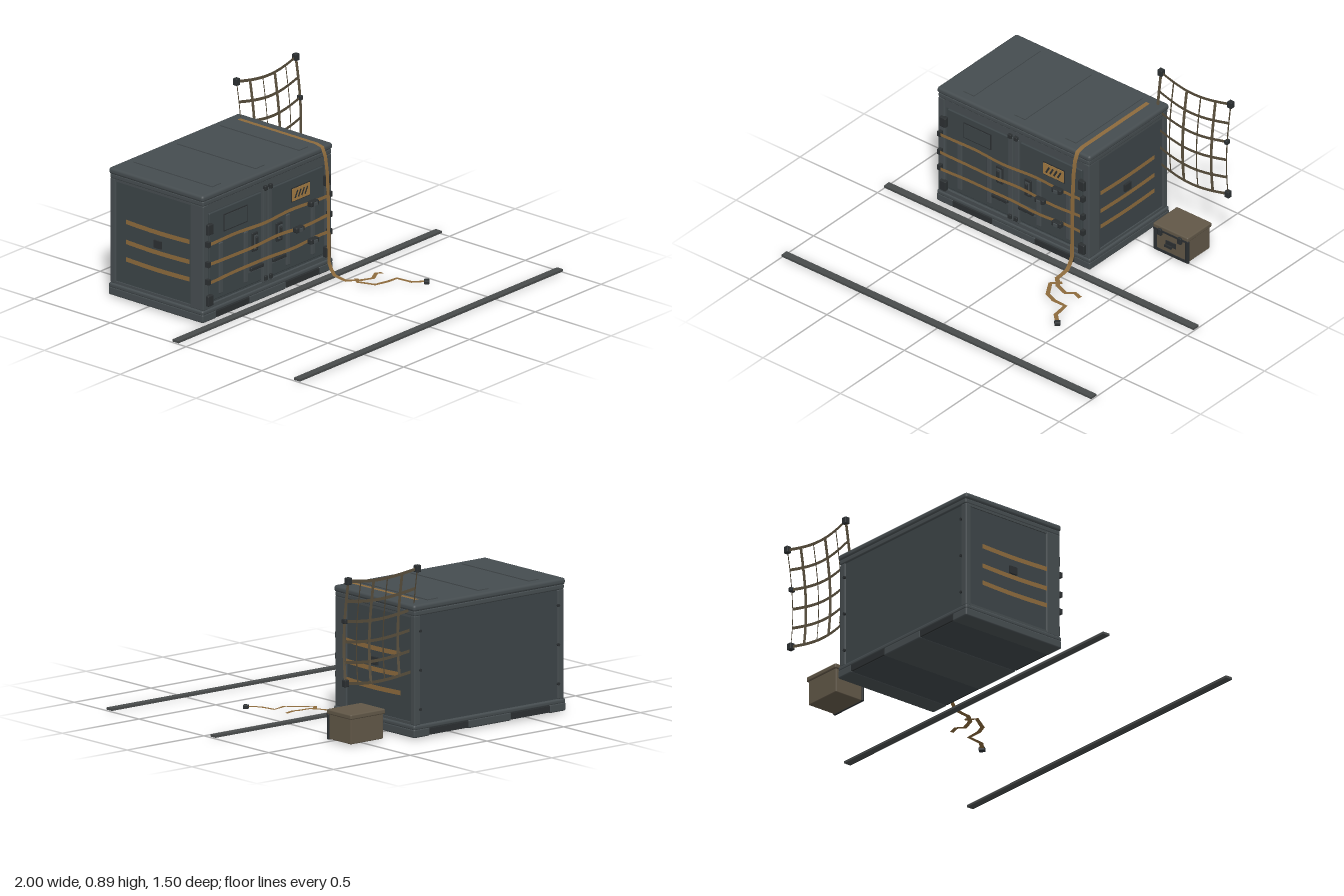
import * as THREE from 'three';
import { RoundedBoxGeometry } from 'three/addons/geometries/RoundedBoxGeometry.js';

const mat = (name, color, side = THREE.FrontSide) => {
  const m = new THREE.MeshStandardMaterial({ color, side });
  m.name = name;
  return m;
};

export function createModel() {
  const model = new THREE.Group();
  model.name = 'cargoContainerSet';
  const M = {
    shell: mat('slate shell', 0x454c4f),
    panel: mat('dark slate panel', 0x3c4447),
    metal: mat('black metal', 0x2b2f31),
    strap: mat('ochre webbing', 0x8c6a3c, THREE.DoubleSide),
    sign: mat('amber sign', 0xa27a42),
    crate: mat('brown crate', 0x615747),
    net: mat('drab net webbing', 0x574d3b, THREE.DoubleSide),
    rail: mat('rail grey', 0x484b4b),
  };
  const add = (parent, name, geo, m, x = 0, y = 0, z = 0) => {
    const mesh = new THREE.Mesh(geo, m);
    mesh.name = name;
    mesh.position.set(x, y, z);
    parent.add(mesh);
    return mesh;
  };
  const group = (name) => {
    const g = new THREE.Group();
    g.name = name;
    model.add(g);
    return g;
  };
  // Box given by its min and max on each axis, optionally with rounded edges
  const box = (parent, name, m, x0, x1, y0, y1, z0, z1, r = 0) => {
    const s = [x1 - x0, y1 - y0, z1 - z0];
    const geo = r ? new RoundedBoxGeometry(...s, 2, r) : new THREE.BoxGeometry(...s);
    return add(parent, name, geo, m, (x0 + x1) / 2, (y0 + y1) / 2, (z0 + z1) / 2);
  };
  // Flat band along a path; side is a fixed width direction, or null to lie on the ground
  const ribbon = (parent, name, m, pts, width, side = null) => {
    const pos = [], idx = [], p = pts.map((q) => new THREE.Vector3(...q));
    p.forEach((q, i) => {
      const t = p[Math.min(i + 1, p.length - 1)].clone().sub(p[Math.max(i - 1, 0)]);
      const s = side ? new THREE.Vector3(...side) : new THREE.Vector3(t.z, 0, -t.x).normalize();
      s.multiplyScalar(width / 2);
      pos.push(q.x - s.x, q.y - s.y, q.z - s.z, q.x + s.x, q.y + s.y, q.z + s.z);
      if (i) idx.push(2 * i - 2, 2 * i, 2 * i - 1, 2 * i - 1, 2 * i, 2 * i + 1);
    });
    const geo = new THREE.BufferGeometry();
    geo.setAttribute('position', new THREE.Float32BufferAttribute(pos, 3));
    geo.setIndex(idx);
    geo.computeVertexNormals();
    return add(parent, name, geo, m);
  };
  const sample = (n, f) => Array.from({ length: n + 1 }, (_, i) => f(i / n));

  // Container: lid, core, base
  const c = group('container');
  const X0 = -0.715, X1 = 0.255, CX = -0.23;
  box(c, 'core', M.panel, X0 + 0.006, X1 - 0.006, 0.06, 0.65, -0.74, -0.148);
  box(c, 'lid', M.shell, -0.725, 0.265, 0.652, 0.686, -0.752, -0.128, 0.014);
  box(c, 'lidSkirt', M.shell, -0.718, 0.258, 0.628, 0.656, -0.748, -0.132, 0.008);
  box(c, 'baseTop', M.shell, -0.725, 0.265, 0.046, 0.072, -0.752, -0.128, 0.01);
  box(c, 'baseBody', M.panel, -0.715, 0.255, 0.012, 0.05, -0.742, -0.138);
  for (const [a, b] of [[-0.725, -0.62], [-0.37, -0.09], [0.16, 0.265]])
    box(c, 'baseSkid', M.shell, a, b, 0.008, 0.052, -0.752, -0.128, 0.008);
  for (const x of [-0.495, 0.035])
    for (const z of [-0.747, -0.133])
      box(c, 'forkPocketCover', M.metal, x - 0.125, x + 0.125, 0.014, 0.046, z - 0.006, z + 0.006);
  // Lid strips
  for (const x of [-0.56, -0.23, 0.1])
    box(c, 'lidStrip', M.shell, x - 0.034, x + 0.034, 0.68, 0.691, -0.7, -0.18);
  // Corner posts and frame rails
  for (const s of [-1, 1]) {
    const e = CX + s * 0.467;
    box(c, 'frontPost', M.shell, e - 0.02, e + 0.02, 0.07, 0.63, -0.22, -0.132, 0.006);
    box(c, 'backPost', M.shell, e - 0.02, e + 0.02, 0.07, 0.63, -0.746, -0.712, 0.006);
    const w = CX + s * 0.482;
    box(c, 'sideTopRail', M.shell, w - 0.004, w + 0.004, 0.618, 0.632, -0.74, -0.14);
    box(c, 'sideBottomRail', M.shell, w - 0.004, w + 0.004, 0.07, 0.085, -0.74, -0.14);
    // Back bolts
    for (const y of [0.15, 0.35, 0.55]) {
      const bolt = add(c, 'backBolt', new THREE.CylinderGeometry(0.008, 0.008, 0.01, 8), M.metal,
        CX + s * 0.45, y, -0.747);
      bolt.rotation.x = Math.PI / 2;
    }
    // Side hinge blocks
    for (const y of [0.5, 0.12])
      box(c, 'hinge', M.metal, CX + s * 0.447 - 0.02, CX + s * 0.447 + 0.02, y - 0.028, y + 0.028, -0.14, -0.114, 0.005);
    box(c, 'sideLug', M.metal, w - 0.006, w + 0.01, 0.33, 0.37, -0.46, -0.41);
  }
  box(c, 'frontTopRail', M.shell, -0.7, 0.24, 0.586, 0.63, -0.155, -0.134);
  box(c, 'frontBottomRail', M.shell, -0.7, 0.24, 0.07, 0.092, -0.155, -0.134);

  // Doors, mirrored about the centre posts
  const doors = group('doors');
  for (const s of [-1, 1]) {
    const at = (name, m, d, w, y0, y1, z0, z1, r = 0) =>
      box(doors, name, m, CX + s * d - w / 2, CX + s * d + w / 2, y0, y1, z0, z1, r);
    at('door', M.panel, 0.235, 0.395, 0.105, 0.575, -0.155, -0.138, 0.005);
    at('centrePost', M.shell, 0.019, 0.03, 0.09, 0.59, -0.155, -0.13, 0.004);
    at('ribInner', M.shell, 0.19 - 0.03, 0.028, 0.13, 0.4, -0.142, -0.13, 0.004);
    at('ribOuter', M.shell, 0.35, 0.028, 0.13, 0.4, -0.142, -0.13, 0.004);
    at('handleBase', M.metal, 0.092, 0.044, 0.278, 0.378, -0.142, -0.13, 0.004);
    at('handlePlate', M.shell, 0.092, 0.028, 0.292, 0.364, -0.132, -0.126);
    at('handleLever', M.metal, 0.092, 0.014, 0.298, 0.358, -0.128, -0.115, 0.004);
    at('pull', M.metal, 0.085, 0.1, 0.182, 0.202, -0.142, -0.12, 0.005);
    at('pullPlate', M.shell, 0.085, 0.11, 0.172, 0.212, -0.142, -0.134);
    for (const y of [0.595, 0.115])
      at('lockKeeper', M.metal, 0.019, 0.022, y - 0.012, y + 0.012, -0.14, -0.118, 0.004);
  }
  // Plaque and hazard sign
  box(doors, 'plaqueFrame', M.metal, -0.557, -0.378, 0.45, 0.542, -0.14, -0.135);
  box(doors, 'plaque', M.panel, -0.551, -0.384, 0.456, 0.536, -0.137, -0.133);
  box(doors, 'signFrame', M.metal, -0.044, 0.098, 0.453, 0.529, -0.14, -0.135);
  box(doors, 'sign', M.sign, -0.039, 0.093, 0.458, 0.524, -0.137, -0.132);
  for (let i = 0; i < 4; i++) {
    const bar = box(doors, 'signStripe', M.metal, -0.005, 0.005, 0.47, 0.512, -0.134, -0.131);
    bar.position.x = -0.01 + i * 0.025;
    bar.rotation.z = -0.5;
  }

  // Cargo straps across the front and down both sides
  const straps = group('straps');
  [[0.425, 0.08], [0.318, -0.03], [0.225, 0.08]].forEach(([y, bx], k) => {
    const wave = (t) => y + 0.004 * Math.sin(t * 11 + k * 2);
    ribbon(straps, 'frontStrap', M.strap,
      sample(24, (t) => [-0.7 + t * 0.935, wave(t), -0.112 + 0.003 * Math.sin(t * 17 + k)]), 0.018, [0, 1, 0]);
    for (const x of [X0 - 0.004, X1 + 0.004])
      ribbon(straps, 'sideStrap', M.strap,
        sample(14, (t) => [x, y - 0.004 - 0.005 * Math.sin(t * Math.PI), -0.22 - t * 0.42]), 0.024, [0, 1, 0]);
    box(straps, 'buckle', M.metal, bx - 0.03, bx + 0.03, y - 0.014, y + 0.014, -0.114, -0.085, 0.006);
    box(straps, 'buckleTongue', M.shell, bx - 0.012, bx + 0.012, y - 0.008, y + 0.008, -0.087, -0.078);
    for (const x of [-0.695, 0.228])
      box(straps, 'strapAnchor', M.metal, x - 0.01, x + 0.01, y - 0.014, y + 0.014, -0.135, -0.108);
  });

  // Loose strap: over the lid, down the front and along the ground
  const loose = group('looseStrap');
  const drop = [[-0.68, 0.694], [-0.17, 0.694], [-0.13, 0.685], [-0.11, 0.64], [-0.098, 0.56], [-0.09, 0.4],
    [-0.088, 0.2], [-0.086, 0.08], [-0.07, 0.045], [-0.05, 0.02], [0.0, 0.012], [0.035, 0.01]];
  ribbon(loose, 'hangingStrap', M.strap, drop.map(([z, y]) => [0.185, y, z]), 0.024, [1, 0, 0]);
  ribbon(loose, 'shortTail', M.strap, [[0.182, 0.011, 0.025], [0.235, 0.014, 0.085], [0.3, 0.01, 0.105],
    [0.345, 0.018, 0.085], [0.385, 0.011, 0.092]], 0.023);
  ribbon(loose, 'longTail', M.strap, [[0.235, 0.014, 0.05], [0.195, 0.018, 0.095], [0.24, 0.01, 0.17],
    [0.305, 0.016, 0.2], [0.375, 0.011, 0.196], [0.387, 0.01, 0.285], [0.435, 0.012, 0.332]], 0.023);
  const clip = box(loose, 'endClip', M.metal, 0.425, 0.457, 0, 0.02, 0.323, 0.351, 0.004);
  clip.rotation.y = 0.7;

  // Sagging cargo net
  const net = group('cargoNet');
  const netPoint = (u, v) => [0.227 + u * 0.45, 0.868 - v * 0.525 - 0.026 * Math.sin(u * Math.PI),
    -0.732 + 0.018 * Math.sin(u * Math.PI) + 0.034 * Math.sin(v * Math.PI * 0.78)];
  for (let i = 0; i < 6; i++) {
    const k = i / 5;
    ribbon(net, 'netRow', M.net, sample(14, (t) => netPoint(t, k)), 0.016, [0, 1, 0]);
    ribbon(net, 'netColumn', M.net, sample(14, (t) => netPoint(k, t)), 0.014, [0.9, 0, i % 2 ? 0.43 : -0.43]);
  }
  for (const [u, v] of [[0, 0], [1, 0], [1, 1], [1, 0.4]]) {
    const [x, y, z] = netPoint(u, v), h = v === 0.4 ? 0.012 : 0.018;
    box(net, 'netClamp', M.metal, x - h * 0.8, x + h * 0.8, y - h, y + h, z - 0.014, z + 0.014, 0.004);
  }

  // Small crate
  const crate = group('smallCrate');
  box(crate, 'crateBody', M.crate, 0.388, 0.6, 0.01, 0.145, -0.66, -0.488, 0.005);
  box(crate, 'crateLid', M.crate, 0.381, 0.607, 0.137, 0.163, -0.669, -0.48, 0.007);
  for (const x of [0.391, 0.597])
    box(crate, 'cratePost', M.metal, x - 0.01, x + 0.01, 0.008, 0.138, -0.495, -0.482, 0.004);
  box(crate, 'crateSill', M.metal, 0.388, 0.6, 0.008, 0.022, -0.494, -0.483);
  box(crate, 'crateLidTrim', M.metal, 0.385, 0.603, 0.132, 0.142, -0.49, -0.477);
  for (const x of [0.43, 0.558])
    box(crate, 'crateLatch', M.metal, x - 0.012, x + 0.012, 0.112, 0.15, -0.485, -0.468, 0.004);
  box(crate, 'handlePlate', M.metal, 0.462, 0.526, 0.062, 0.09, -0.49, -0.483);
  ribbon(crate, 'crateHandle', M.metal, [[0.472, 0.075, -0.484], [0.478, 0.075, -0.461],
    [0.51, 0.075, -0.461], [0.516, 0.075, -0.484]], 0.012, [0, 1, 0]);
  box(crate, 'handleBar', M.metal, 0.472, 0.516, 0.068, 0.082, -0.468, -0.459);

  // Floor rails
  for (const z of [-0.07, 0.73])
    box(model, 'floorRail', M.rail, -1, 1, 0.005, 0.017, z - 0.02, z + 0.02);

  return model;
}
